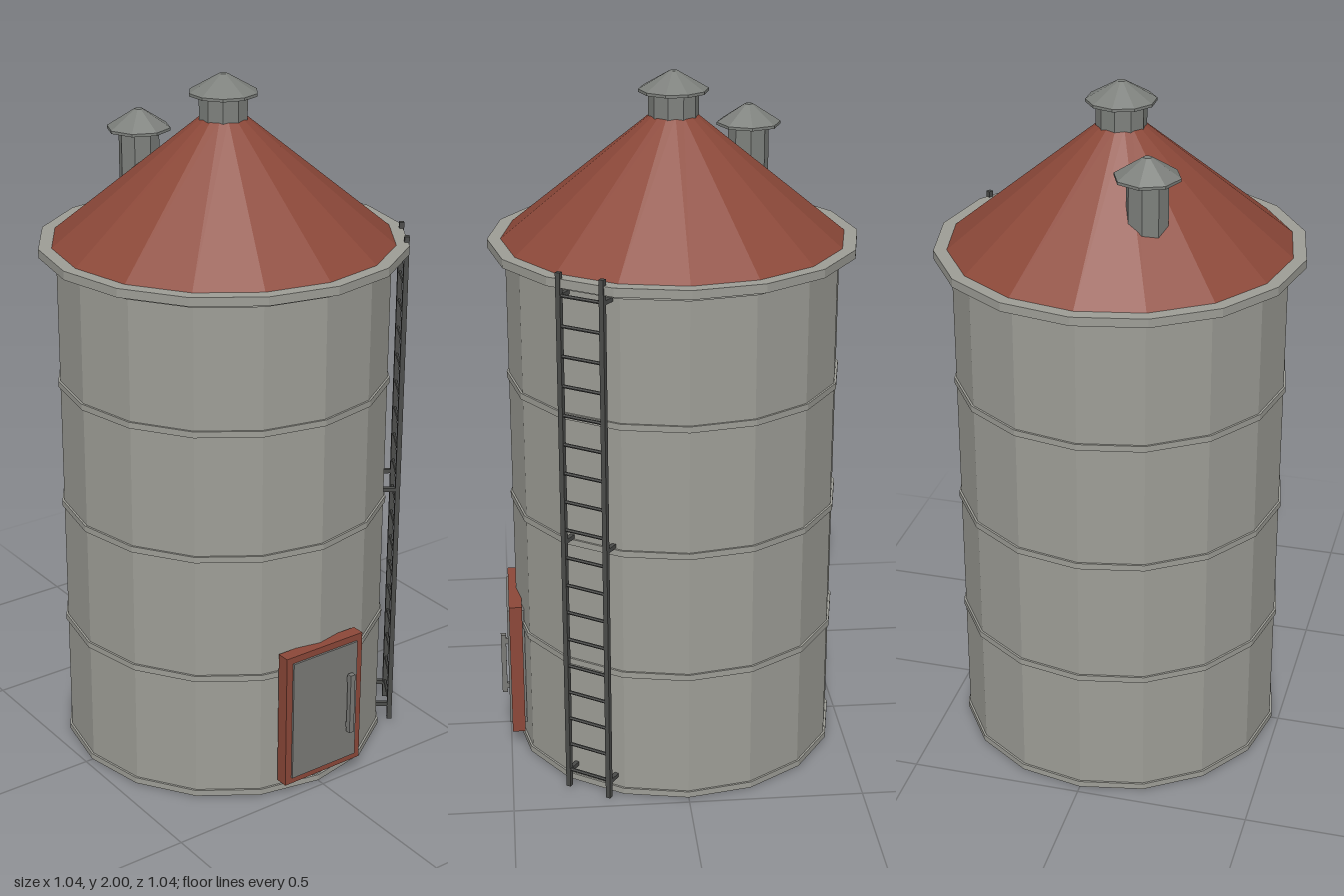
import * as THREE from 'three';

const mat = (name, color) => {
  const m = new THREE.MeshStandardMaterial({ color, flatShading: true });
  m.name = name;
  return m;
};

export function createModel() {
  const steel = mat('galvanised steel', 0x9d9d96);
  const ventGrey = mat('vent grey', 0x7d807c);
  const red = mat('roof red', 0x8c4839);
  const doorGrey = mat('door grey', 0x7a7a77);
  const dark = mat('ladder iron', 0x4b4c4a);

  const silo = new THREE.Group();
  silo.name = 'silo';
  const SIDES = 16;

  const add = (parent, name, geometry, material, x = 0, y = 0, z = 0) => {
    const mesh = new THREE.Mesh(geometry, material);
    mesh.name = name;
    mesh.position.set(x, y, z);
    parent.add(mesh);
    return mesh;
  };
  // Prism or frustum standing between two heights
  const drum = (parent, name, r0, r1, y0, y1, sides, material, x = 0, z = 0) =>
    add(parent, name, new THREE.CylinderGeometry(r1, r0, y1 - y0, sides), material, x, (y0 + y1) / 2, z);
  const box = (parent, name, w, h, d, material, x, y, z) =>
    add(parent, name, new THREE.BoxGeometry(w, h, d), material, x, y, z);

  // Wall with hoops at the joints
  drum(silo, 'wall', 0.473, 0.473, 0, 1.53, SIDES, steel);
  for (const y of [0.002, 0.38, 0.754, 1.127, 1.495])
    drum(silo, 'hoop', 0.479, 0.479, y, y + 0.018, SIDES, steel);

  // Eave and roof
  drum(silo, 'eave', 0.522, 0.522, 1.513, 1.538, SIDES, steel);
  drum(silo, 'roof', 0.486, 0.06, 1.537, 1.885, SIDES, red);

  // Vents: neck, rim and conical cap
  const vent = (name, x, z, sides, neck, cap, y0, yCap, yTop) => {
    const g = new THREE.Group();
    g.name = name;
    drum(g, 'neck', neck, neck, y0, yCap, sides, ventGrey, x, z);
    drum(g, 'capRim', cap, cap, yCap - 0.005, yCap + 0.003, sides, ventGrey, x, z);
    drum(g, 'cap', cap, 0.012, yCap + 0.003, yTop, sides, ventGrey, x, z);
    silo.add(g);
  };
  vent('topVent', 0, 0, 10, 0.07, 0.097, 1.86, 1.948, 2.0);
  vent('sideVent', -0.13, -0.225, 8, 0.058, 0.091, 1.66, 1.822, 1.876);

  // Door: frame, panel and handle
  const door = new THREE.Group();
  door.name = 'door';
  const outline = new THREE.Shape();
  outline.moveTo(-0.135, 0.043);
  outline.lineTo(0.135, 0.043);
  outline.lineTo(0.135, 0.457);
  outline.lineTo(-0.135, 0.457);
  const hole = new THREE.Path();
  hole.moveTo(-0.114, 0.063);
  hole.lineTo(-0.114, 0.437);
  hole.lineTo(0.114, 0.437);
  hole.lineTo(0.114, 0.063);
  outline.holes.push(hole);
  add(door, 'doorFrame', new THREE.ExtrudeGeometry(outline, { depth: 0.038, bevelEnabled: false }), red, 0, 0, 0.458);
  box(door, 'doorPanel', 0.228, 0.374, 0.05, doorGrey, 0, 0.25, 0.477);
  box(door, 'doorHandle', 0.016, 0.19, 0.015, doorGrey, 0.084, 0.25, 0.515);
  for (const y of [0.175, 0.325]) box(door, 'handleMount', 0.012, 0.016, 0.012, doorGrey, 0.084, y, 0.504);
  silo.add(door);

  // Ladder, centred on a wall panel and built facing +z
  const ladder = new THREE.Group();
  ladder.name = 'ladder';
  for (const side of [-1, 1]) {
    box(ladder, 'ladderRail', 0.014, 1.55, 0.014, dark, side * 0.066, 0.78, 0.508);
    for (const y of [0.055, 0.78, 1.49])
      box(ladder, 'ladderBracket', 0.012, 0.012, 0.05, dark, side * 0.066, y, 0.484);
  }
  for (let i = 0; i < 18; i++) {
    const rung = add(ladder, 'ladderRung', new THREE.CylinderGeometry(0.005, 0.005, 0.132, 6), dark, 0, 0.06 + i * 0.0842, 0.508);
    rung.rotation.z = Math.PI / 2;
  }
  ladder.rotation.y = (2.5 / SIDES) * Math.PI * 2;
  silo.add(ladder);

  return silo;
}
